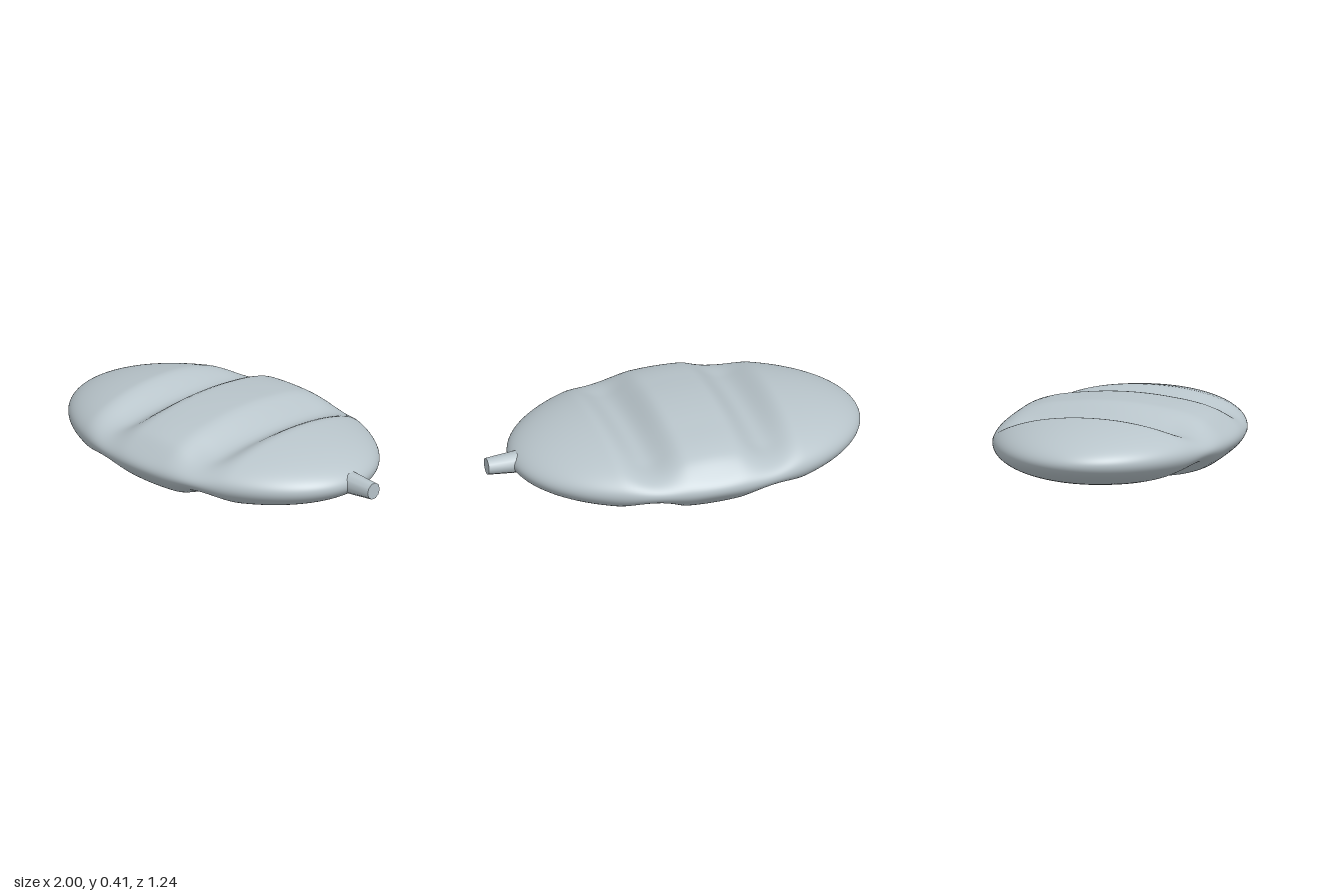
import * as THREE from 'three';
import { mergeVertices } from 'three/addons/utils/BufferGeometryUtils.js';

const CENTER_X = -0.065, CENTER_Y = 0.205;
const HALF = { x: 0.935, y: 0.203, z: 0.622 };

// Cosine-shaped dip, 1 at the centre and 0 beyond the half-width
function dip(d, halfWidth) {
  return Math.abs(d) < halfWidth ? Math.cos((d / halfWidth) * Math.PI / 2) ** 2 : 0;
}

// Thickness factor: two cross grooves, and a fuller middle lobe that drops steeply at its rim
function thickness(x, z) {
  const az = Math.abs(z);
  const fade = 1 - 0.45 * THREE.MathUtils.smoothstep(az, 0.35, 0.6);
  const grooves = 0.46 * fade * (dip(x - 0.315, 0.19) + dip(x + 0.315, 0.19));
  const middle = dip(x, 0.4);
  const shoulder = 0.07 * THREE.MathUtils.smoothstep(az, 0.2, 0.49);
  const rim = 0.25 * THREE.MathUtils.smoothstep(az, 0.48, 0.62);
  return 1 - grooves + middle * (shoulder - rim);
}

function bodyGeometry() {
  let geo = new THREE.SphereGeometry(1, 120, 120);
  geo.rotateZ(Math.PI / 2); // poles at the two ends
  geo.deleteAttribute('uv');
  geo.deleteAttribute('normal');
  geo = mergeVertices(geo, 1e-5);
  const p = geo.attributes.position;
  for (let i = 0; i < p.count; i++) {
    const x = p.getX(i) * HALF.x, z = p.getZ(i) * HALF.z;
    p.setXYZ(i, x, p.getY(i) * HALF.y * thickness(x, z), z);
  }
  geo.computeVertexNormals();
  return geo;
}

export function createModel() {
  const group = new THREE.Group();
  group.name = 'grooved pod';
  const grey = new THREE.MeshStandardMaterial({ color: 0xb8c4ca });
  grey.name = 'pale grey';

  // Flattened, lobed body
  const body = new THREE.Mesh(bodyGeometry(), grey);
  body.name = 'body';
  body.position.set(CENTER_X, CENTER_Y, 0);
  group.add(body);

  // Short tapered stub at the left end
  const stem = new THREE.Mesh(new THREE.CylinderGeometry(0.045, 0.059, 0.16, 10), grey);
  stem.name = 'stem';
  stem.rotation.z = -Math.PI / 2;
  stem.position.set(0.92, CENTER_Y, 0);
  group.add(stem);

  return group;
}
